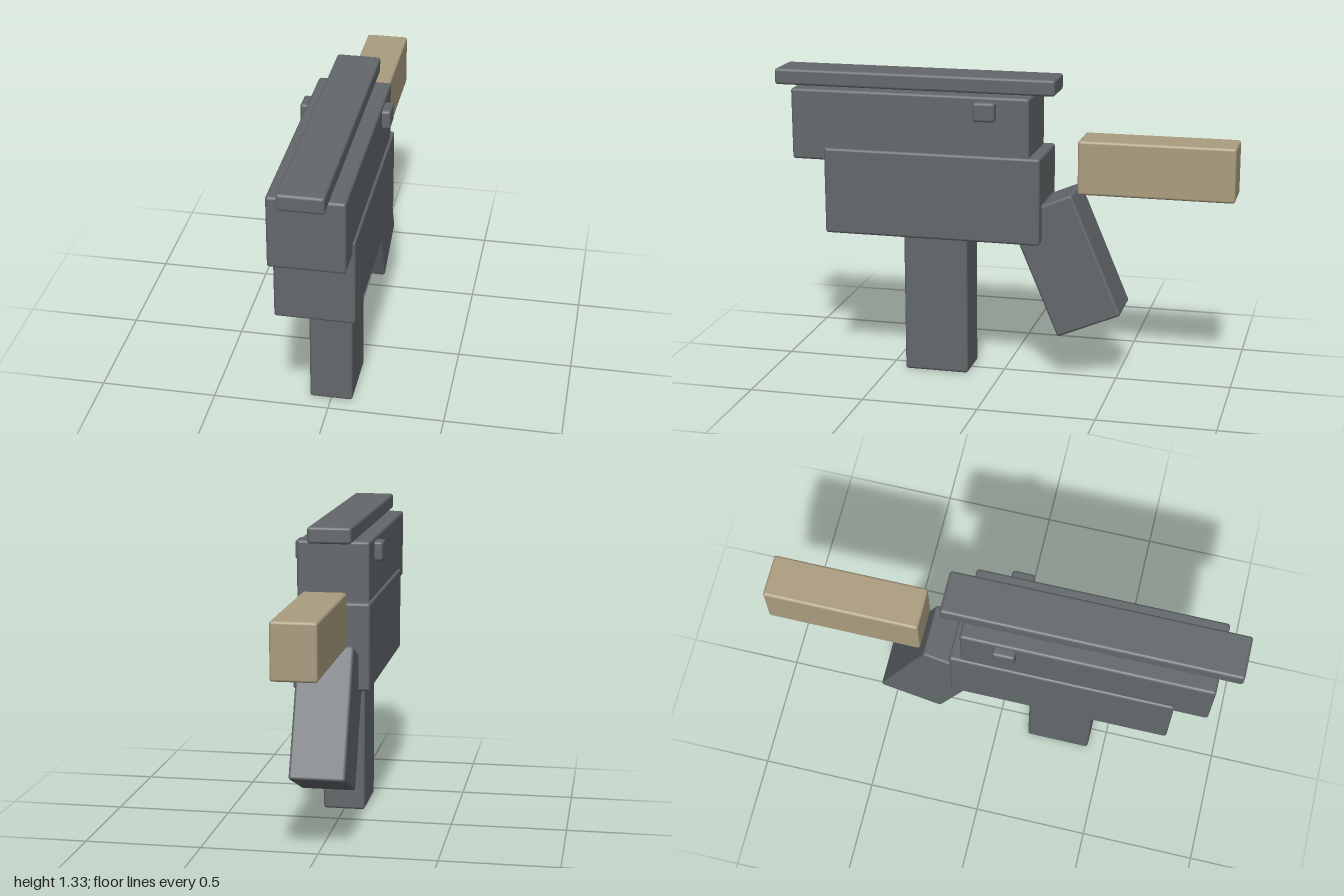
import * as THREE from 'three';
import { RoundedBoxGeometry } from 'three/addons/geometries/RoundedBoxGeometry.js';

export function createModel() {
  const group = new THREE.Group();
  const gunmetal = new THREE.MeshStandardMaterial({ color: 0x63686b });
  gunmetal.name = 'gunmetal grey';
  const tan = new THREE.MeshStandardMaterial({ color: 0xab9d7f });
  tan.name = 'tan';

  // Softly bevelled block given by its ranges in x, y and z
  function block(name, material, [x0, x1], [y0, y1], [z0, z1]) {
    const geometry = new RoundedBoxGeometry(x1 - x0, y1 - y0, z1 - z0, 2, 0.012);
    const mesh = new THREE.Mesh(geometry, material);
    mesh.name = name;
    mesh.position.set((x0 + x1) / 2, (y0 + y1) / 2, (z0 + z1) / 2);
    group.add(mesh);
    return mesh;
  }

  // Body
  block('topRail', gunmetal, [-0.093, 0.093], [1.255, 1.325], [-0.236, 1]);
  block('upperBody', gunmetal, [-0.155, 0.155], [0.946, 1.255], [-0.141, 0.905]);
  block('lowerBody', gunmetal, [-0.165, 0.165], [0.625, 1.002], [-0.189, 0.761]);

  // Magazine
  block('magazine', gunmetal, [-0.093, 0.093], [0, 0.66], [0.145, 0.429]);

  // Rear stock
  block('stock', tan, [-0.093, 0.093], [0.84, 1.074], [-1, -0.336]);

  // Side knobs, mirrored
  block('leftKnob', gunmetal, [0.12, 0.19], [1.153, 1.236], [0, 0.095]);
  block('rightKnob', gunmetal, [-0.19, -0.12], [1.153, 1.236], [0, 0.095]);

  // Raked grip: its foot swings to the rear
  const grip = block('grip', gunmetal, [-0.118, 0.118], [0.245, 0.81], [-0.436, -0.139]);
  grip.rotation.x = 0.4;

  return group;
}
